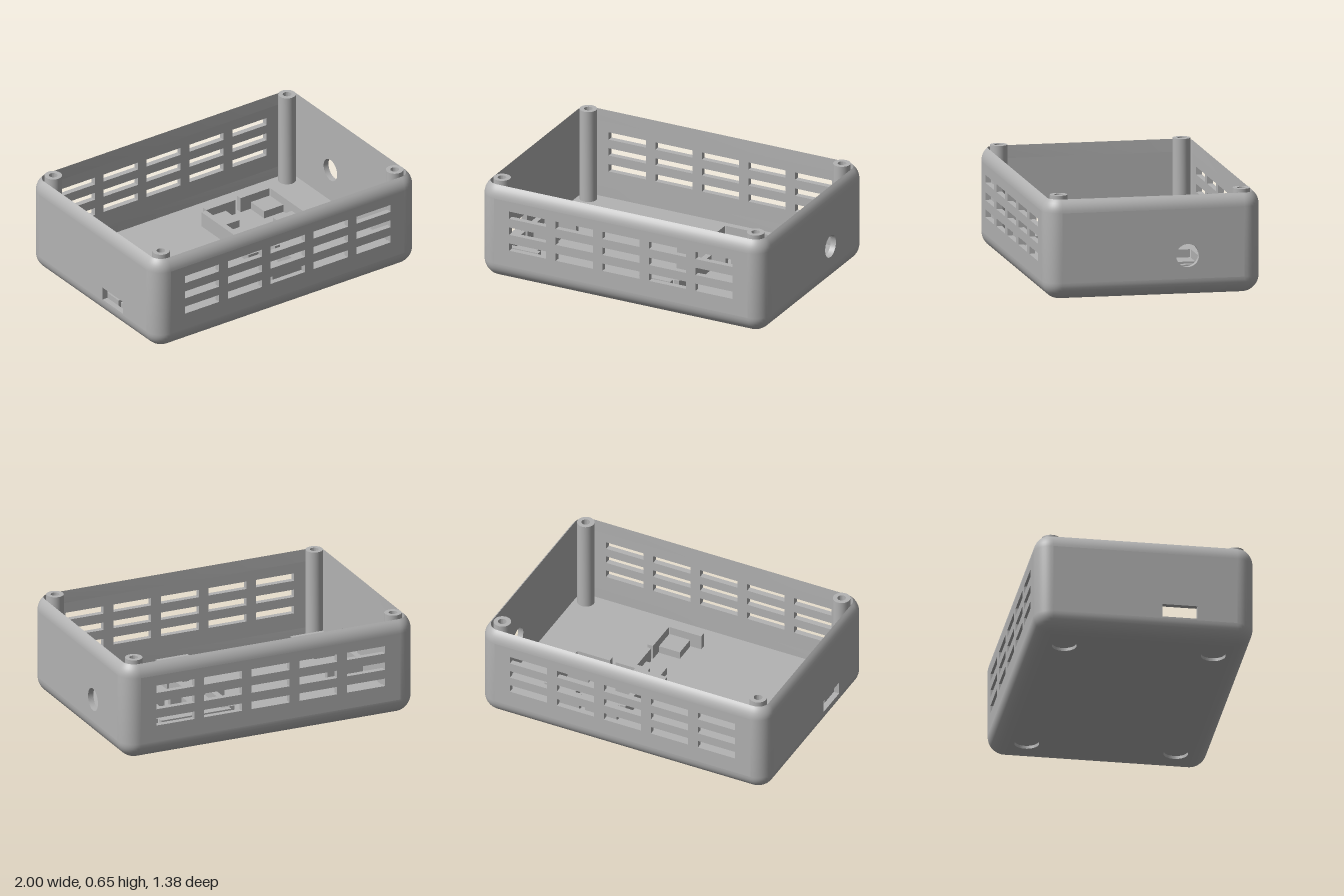
import * as THREE from 'three';
import { toCreasedNormals } from 'three/addons/utils/BufferGeometryUtils.js';

const X = 1, Z = 0.69;          // half length and half depth
const R = 0.11;                 // edge radius
const T = 0.037;                // wall thickness
const FLOOR = 0.04;             // inside floor level
const SHOULDER = 0.553;         // where the flat walls end and the top edge curls in
const CX = X - R, CZ = Z - R;   // corner centres

const grey = new THREE.MeshStandardMaterial({ color: 0xb3b3b3 });
grey.name = 'grey plastic';

function part(name, geometry, parent) {
  const mesh = new THREE.Mesh(geometry, grey);
  mesh.name = name;
  parent.add(mesh);
  return mesh;
}

function rectPath(path, x0, x1, y0, y1) {
  path.moveTo(x0, y0);
  path.lineTo(x1, y0);
  path.lineTo(x1, y1);
  path.lineTo(x0, y1);
  path.closePath();
  return path;
}
const rectHole = (x, y, w, h) =>
  rectPath(new THREE.Path(), x - w / 2, x + w / 2, y - h / 2, y + h / 2);
const roundHole = (x, y, r) => new THREE.Path().absarc(x, y, r, 0, Math.PI * 2, true);

function plate(x0, x1, y0, y1, depth, holes) {
  const shape = rectPath(new THREE.Shape(), x0, x1, y0, y1);
  shape.holes.push(...holes);
  return new THREE.ExtrudeGeometry(shape, { depth, bevelEnabled: false, curveSegments: 32 });
}

// Rounded edges and corners: a profile of [inset, y] swept round the rounded rectangle.
// The flat wall areas are left open for the pierced wall plates.
function edgeShell() {
  const N = 10, profile = [];
  for (let i = 0; i <= N; i++) {
    const a = (i / N) * Math.PI / 2;
    profile.push([R - R * Math.sin(a), R - R * Math.cos(a)]);
  }
  const outerFlat = profile.length - 1;
  const end = Math.acos((R - T) / R);
  for (let i = 0; i <= 6; i++) {
    const a = (i / 6) * end;
    profile.push([R - R * Math.cos(a), SHOULDER + R * Math.sin(a)]);
  }
  profile.push([T, SHOULDER]);
  const innerFlat = profile.length - 1;
  profile.push([T, R], [T, FLOOR], [R, FLOOR]);

  const rings = profile.map(([inset, y]) => {
    const ring = [];
    [[1, 1], [-1, 1], [-1, -1], [1, -1]].forEach(([sx, sz], c) => {
      for (let k = 0; k <= N; k++) {
        const a = (c + k / N) * Math.PI / 2;
        ring.push(new THREE.Vector3(
          sx * CX + (R - inset) * Math.cos(a), y, sz * CZ + (R - inset) * Math.sin(a)));
      }
    });
    return ring;
  });

  const pos = [];
  const tri = (a, b, c) => {
    if (new THREE.Triangle(a, b, c).getArea() < 1e-8) return;
    for (const p of [a, b, c]) pos.push(p.x, p.y, p.z);
  };
  for (let i = 0; i < rings.length - 1; i++) {
    const count = rings[i].length;
    for (let j = 0; j < count; j++) {
      const straight = j % (N + 1) === N;
      if (straight && (i === outerFlat || i === innerFlat)) continue;
      const k = (j + 1) % count;
      tri(rings[i][j], rings[i + 1][j], rings[i + 1][k]);
      tri(rings[i][j], rings[i + 1][k], rings[i][k]);
    }
  }
  const g = new THREE.BufferGeometry();
  g.setAttribute('position', new THREE.Float32BufferAttribute(pos, 3));
  return toCreasedNormals(g, 0.5);
}

// Corner pads and low retaining walls that hold a circuit board
function boardMount(name, x0, x1, z0, z1, parent) {
  const group = new THREE.Group();
  group.name = name;
  parent.add(group);
  const pad = 0.145, wall = 0.037, gap = 0.004;
  const lenX = 0.22, lenZ = Math.min(0.22, (z1 - z0) / 2);
  const block = (label, cx, cz, w, h, d) =>
    part(label, new THREE.BoxGeometry(w, h, d), group).position.set(cx, FLOOR + h / 2, cz);
  for (const [x, sx] of [[x0, 1], [x1, -1]]) {
    for (const [z, sz] of [[z0, 1], [z1, -1]]) {
      block('boardPad', x + sx * pad / 2, z + sz * pad / 2, pad, 0.05, pad);
      block('boardWall', x + sx * lenX / 2, z - sz * (gap + wall / 2), lenX, 0.1, wall);
      block('boardWall', x - sx * (gap + wall / 2), z + sz * lenZ / 2, wall, 0.1, lenZ);
    }
  }
}

export function createModel() {
  const model = new THREE.Group();
  model.name = 'enclosureBase';
  part('roundedEdges', edgeShell(), model);

  // Long walls with ventilation slots
  const slots = () => {
    const list = [];
    for (let c = -2; c <= 2; c++)
      for (const y of [0.243, 0.352, 0.461]) list.push(rectHole(c * 0.327, y, 0.26, 0.05));
    return list;
  };
  const addWall = (name, halfWidth, distance, angle, holes) => {
    const g = plate(-halfWidth, halfWidth, R, SHOULDER, T, holes);
    g.translate(0, 0, distance - T);
    part(name, g, model).rotation.y = angle;
  };
  addWall('frontWall', CX, Z, 0, slots());
  addWall('backWall', CX, Z, Math.PI, slots());
  // End walls: round socket hole and rectangular port
  addWall('leftWall', CZ, X, Math.PI / 2, [roundHole(0.217, 0.257, 0.073)]);
  addWall('rightWall', CZ, X, -Math.PI / 2, [rectHole(0.217, 0.163, 0.22, 0.085)]);

  // Floor in two layers, the lower one with round recesses for feet
  const recesses = [];
  for (const x of [-0.73, 0.73])
    for (const z of [-0.47, 0.47]) recesses.push(roundHole(x, z, 0.077));
  const addFloor = (name, holes, y) => {
    const g = plate(-CX, CX, -CZ, CZ, 0.02, holes);
    g.rotateX(-Math.PI / 2);
    part(name, g, model).position.y = y;
  };
  addFloor('basePlate', recesses, 0);
  addFloor('floorPlate', [], 0.02);

  // Screw posts with blind holes
  const profile = [[0.055, FLOOR], [0.055, 0.655], [0.027, 0.655], [0.027, 0.3], [0, 0.3]]
    .map(([r, y]) => new THREE.Vector2(r, y));
  const post = toCreasedNormals(new THREE.LatheGeometry(profile, 32), 0.5);
  for (const x of [-0.89, 0.89])
    for (const z of [-0.582, 0.582]) part('screwPost', post, model).position.set(x, 0, z);

  boardMount('smallBoardMount', 0.16, 0.64, -0.413, -0.03, model);
  boardMount('largeBoardMount', -0.905, 0.243, -0.017, 0.45, model);
  return model;
}
